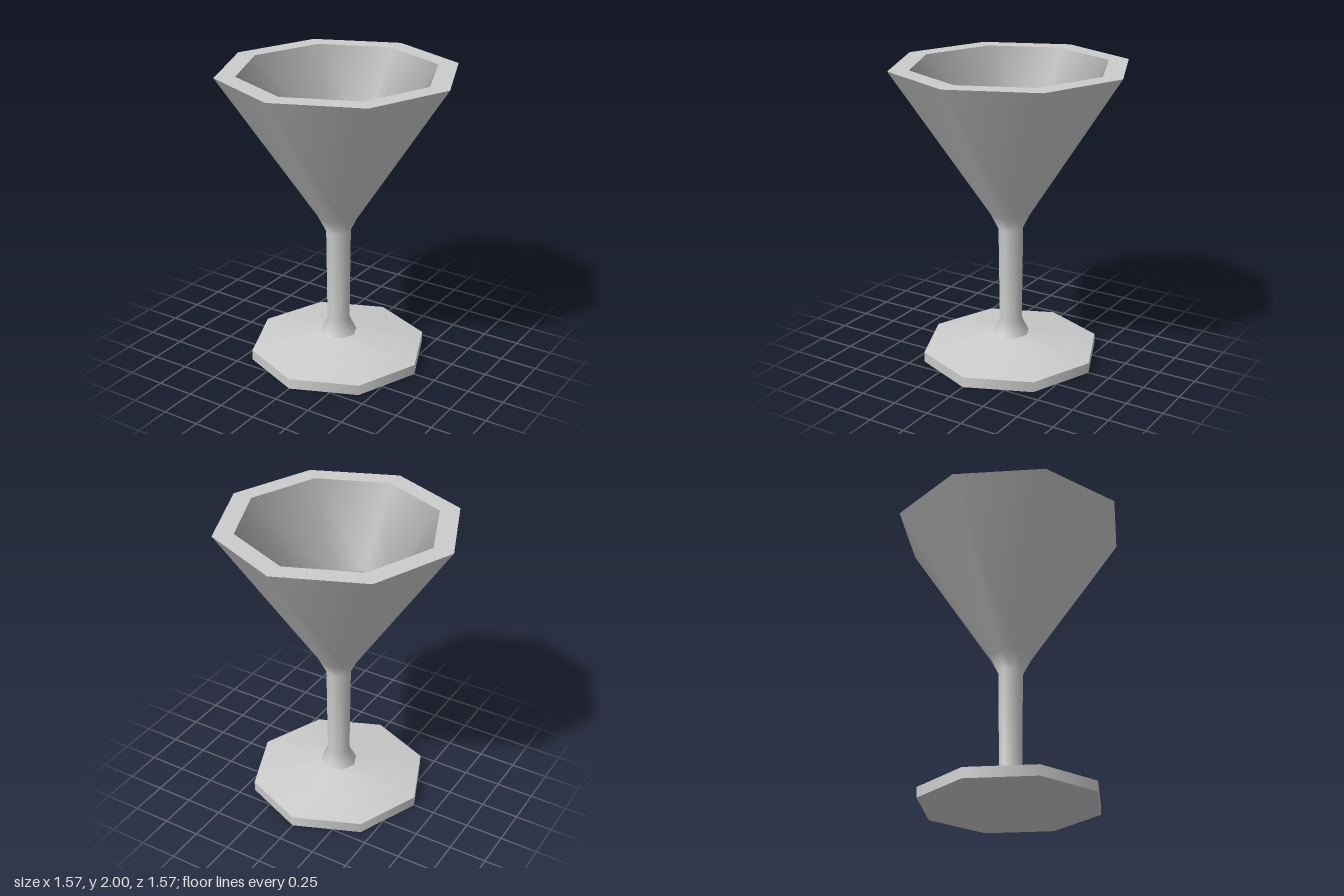
import * as THREE from 'three';

const SIDES = 8;

export function createModel() {
  const goblet = new THREE.Group();
  goblet.name = 'goblet';

  const paleGrey = new THREE.MeshStandardMaterial({ color: 0xcccccc });
  paleGrey.name = 'paleGrey';
  const midGrey = new THREE.MeshStandardMaterial({ color: 0x9f9f9f });
  midGrey.name = 'midGrey';

  // Turns a profile of [radius, height] pairs into an eight-sided part, smooth within itself
  function turned(name, profile, material) {
    const points = profile.map(([r, y]) => new THREE.Vector2(r, y));
    const mesh = new THREE.Mesh(new THREE.LatheGeometry(points, SIDES), material);
    mesh.name = name;
    goblet.add(mesh);
  }

  // Foot: flat underside, upright edge and shallow sloping top
  turned('footUnderside', [[0, 0], [0.6, 0]], paleGrey);
  turned('footEdge', [[0.6, 0], [0.6, 0.07]], paleGrey);
  turned('footTop', [[0.6, 0.07], [0.125, 0.16]], paleGrey);

  // Stem flowing smoothly into the outside of the bowl
  turned('stemAndBowl', [
    [0.125, 0.16], [0.077, 0.26], [0.084, 0.91], [0.14, 1.02], [0.785, 2],
  ], paleGrey);

  // Rim and the darker inside of the bowl
  turned('rim', [[0.785, 2], [0.65, 2]], paleGrey);
  turned('bowlInside', [[0.65, 2], [0.32, 1.5]], midGrey);
  turned('bowlFloor', [[0.32, 1.5], [0, 1.5]], midGrey);

  return goblet;
}
